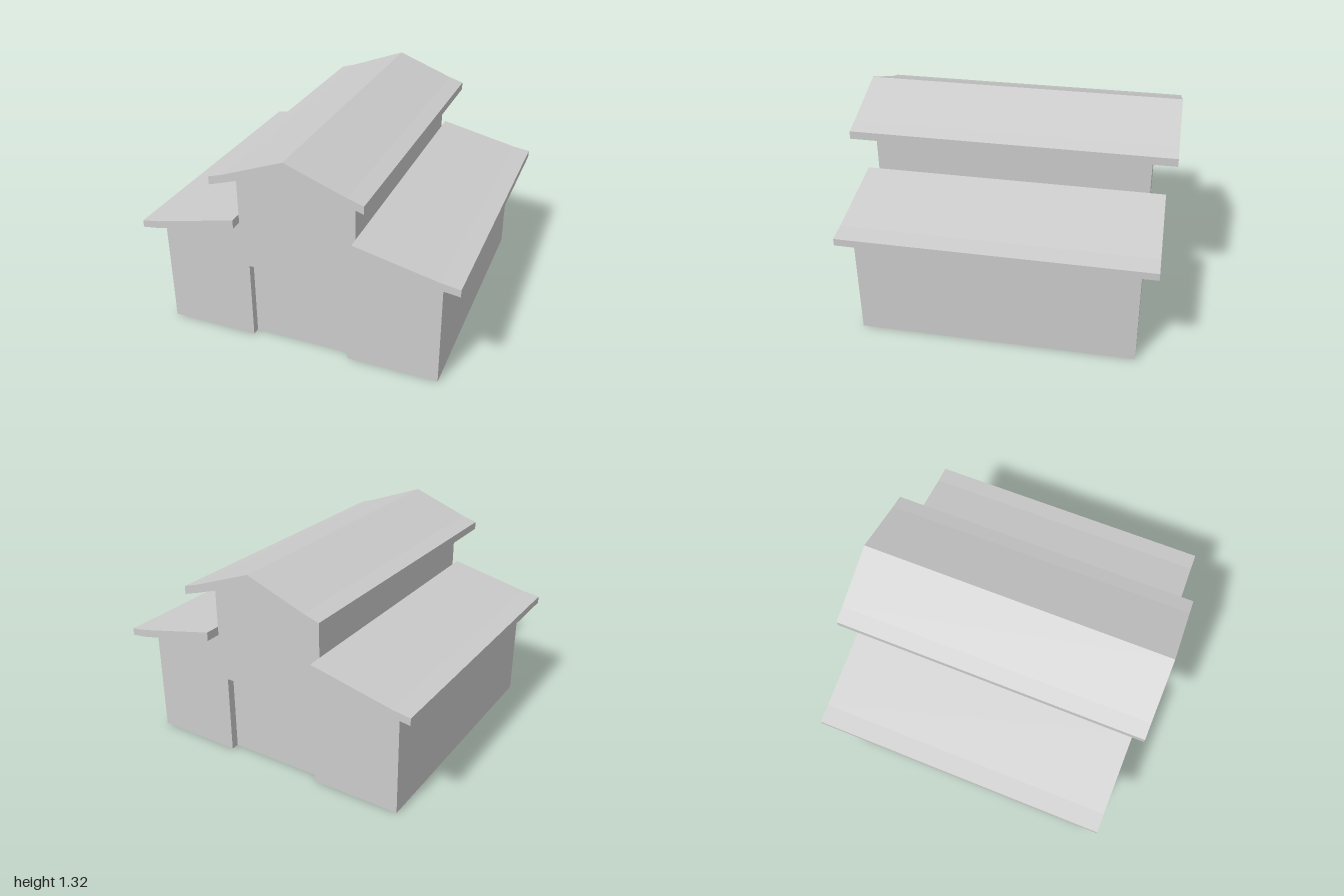
import * as THREE from 'three';

const material = new THREE.MeshStandardMaterial({ color: 0xcccccc, flatShading: true, side: THREE.DoubleSide });

const FRONT = 0.86, BACK = -0.845; // end wall positions
const DOOR = { half: 0.318, top: 0.51, depth: 0.05 };
const WALL = { half: 0.885, eave: 0.69, upperHalf: 0.368, step: 0.8, upperEave: 1.13, ridge: 1.25 };

function addMesh(parent, name, geometry) {
  const mesh = new THREE.Mesh(geometry, material);
  mesh.name = name;
  parent.add(mesh);
  return mesh;
}

function shapeFrom(points) {
  return new THREE.Shape(points.map(([x, y]) => new THREE.Vector2(x, y)));
}

// Roof slab: a cross-section drawn out along z
function roofSlab(points, z0, z1) {
  return new THREE.ExtrudeGeometry(shapeFrom(points), { depth: z1 - z0, bevelEnabled: false }).translate(0, 0, z0);
}

// Thin side wall facing left (+1) or right (-1)
function sidePanel(side, x, y0, y1, z0, z1) {
  return new THREE.PlaneGeometry(Math.abs(z1 - z0), y1 - y0)
    .rotateY(side * Math.PI / 2)
    .translate(x, (y0 + y1) / 2, (z0 + z1) / 2);
}

// Gable wall with a recessed doorway, built facing +z
function endWall(name) {
  const g = new THREE.Group();
  g.name = name;
  const w = WALL, d = DOOR;
  const leftHalf = [
    [d.half, d.top], [d.half, 0], [w.half, 0], [w.half, w.eave],
    [w.upperHalf, w.step], [w.upperHalf, w.upperEave],
  ];
  const rightHalf = leftHalf.map(([x, y]) => [-x, y]).reverse();
  addMesh(g, 'gableWall', new THREE.ShapeGeometry(shapeFrom([...leftHalf, [0, w.ridge], ...rightHalf])));
  addMesh(g, 'doorPanel', new THREE.PlaneGeometry(2 * d.half, d.top).translate(0, d.top / 2, -d.depth));
  addMesh(g, 'doorLintel', new THREE.PlaneGeometry(2 * d.half, d.depth)
    .rotateX(Math.PI / 2).translate(0, d.top, -d.depth / 2));
  for (const s of [1, -1]) {
    addMesh(g, 'doorJamb', sidePanel(-s, s * d.half, 0, d.top, -d.depth, 0));
  }
  return g;
}

export function createModel() {
  const model = new THREE.Group();
  model.name = 'barn';

  // End walls
  const front = endWall('frontWall');
  front.position.z = FRONT;
  const back = endWall('backWall');
  back.position.z = BACK;
  back.rotation.y = Math.PI;
  model.add(front, back);

  // Side walls and lean-to roofs
  for (const s of [1, -1]) {
    const side = s > 0 ? 'left' : 'right';
    addMesh(model, side + 'LowerWall', sidePanel(s, s * WALL.half, 0, WALL.eave, BACK, FRONT));
    addMesh(model, side + 'UpperWall', sidePanel(s, s * WALL.upperHalf, WALL.step, WALL.upperEave, BACK, FRONT));
    const profile = [[0.37, 0.8], [0.885, 0.69], [1, 0.675], [1, 0.72], [0.885, 0.738], [0.37, 0.855]];
    addMesh(model, side + 'LowerRoof', roofSlab(profile.map(([x, y]) => [s * x, y]), -0.94, 0.93));
  }

  // Ridge roof
  addMesh(model, 'upperRoof', roofSlab([
    [0, 1.25], [0.37, 1.13], [0.467, 1.1], [0.467, 1.15], [0.37, 1.18],
    [0, 1.32], [-0.37, 1.18], [-0.467, 1.15], [-0.467, 1.1], [-0.37, 1.13],
  ], -0.99, 0.99));

  return model;
}
